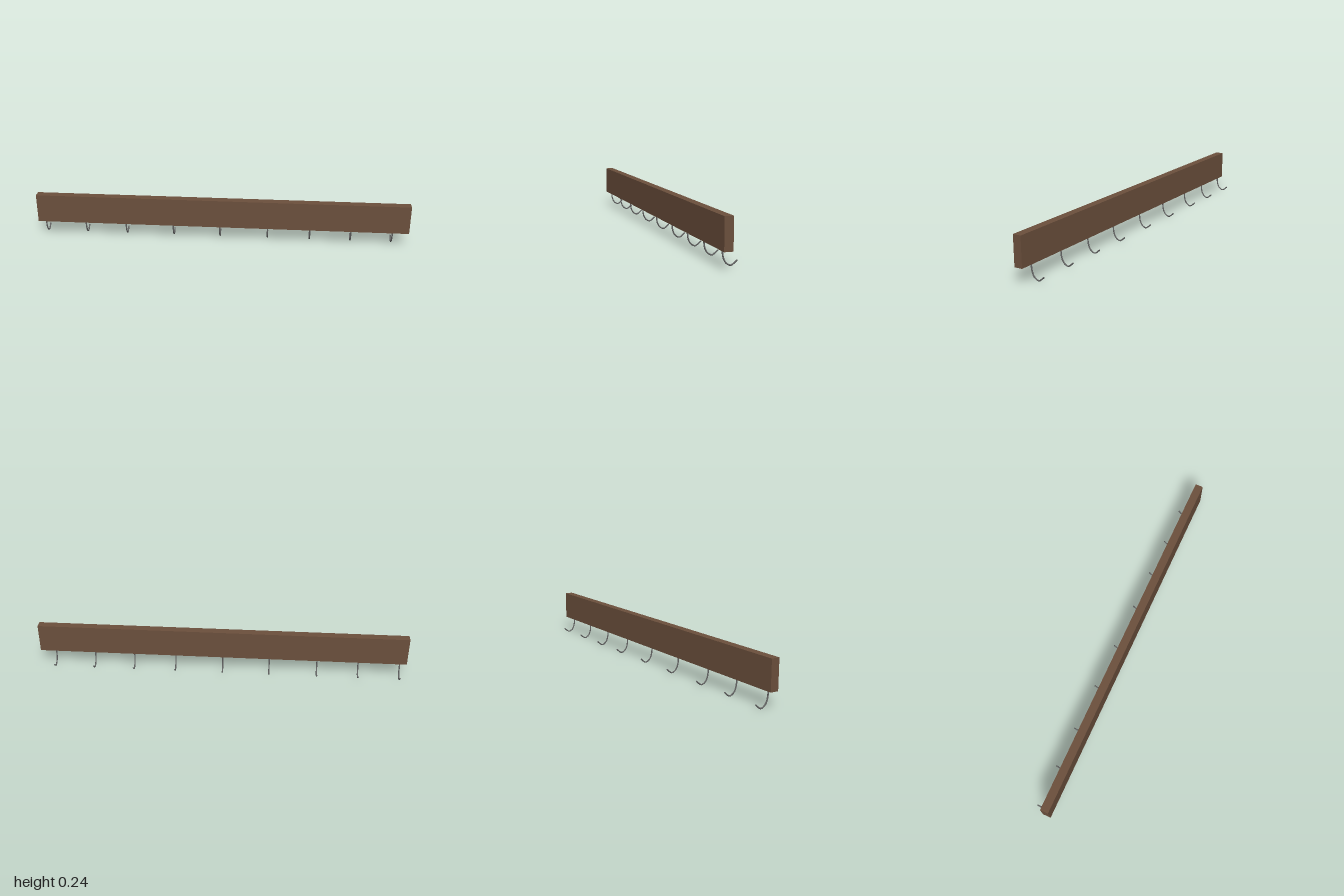
import * as THREE from 'three';

export function createModel() {
  const model = new THREE.Group();
  const wood = new THREE.MeshStandardMaterial({ color: 0x6b4f3c });
  wood.name = 'brown wood';
  const metal = new THREE.MeshStandardMaterial({ color: 0x636363 });
  metal.name = 'grey metal';

  // Long wooden rail
  const board = new THREE.Mesh(new THREE.BoxGeometry(2, 0.154, 0.043), wood);
  board.name = 'board';
  board.position.set(0, 0.159, 0.0285);
  model.add(board);

  // Wire hook: drops from the rail and curls up towards the back, as [z, y]
  const radius = 0.0036;
  const path = new THREE.CatmullRomCurve3([
    [0.024, 0.09], [0.0235, 0.075], [0.0212, 0.05], [0.015, 0.029],
    [0.003, 0.0125], [-0.016, 0.0038], [-0.0295, 0.0105], [-0.0465, 0.0255],
  ].map(([z, y]) => new THREE.Vector3(0, y, z)));
  const wire = new THREE.TubeGeometry(path, 32, radius, 10);

  // Flat cap that closes the free end of the wire
  const cap = new THREE.CircleGeometry(radius, 10);
  const end = path.getPointAt(1);
  const dir = path.getTangentAt(1);
  cap.applyQuaternion(new THREE.Quaternion().setFromUnitVectors(new THREE.Vector3(0, 0, 1), dir));
  cap.translate(end.x, end.y, end.z);

  // Unevenly spaced row of hooks
  [-0.965, -0.743, -0.521, -0.262, -0.008, 0.251, 0.479, 0.698, 0.917].forEach((x, i) => {
    const hook = new THREE.Group();
    hook.name = `hook${i + 1}`;
    const wireMesh = new THREE.Mesh(wire, metal);
    wireMesh.name = 'hookWire';
    const capMesh = new THREE.Mesh(cap, metal);
    capMesh.name = 'hookTip';
    hook.add(wireMesh, capMesh);
    hook.position.x = x;
    model.add(hook);
  });

  return model;
}
